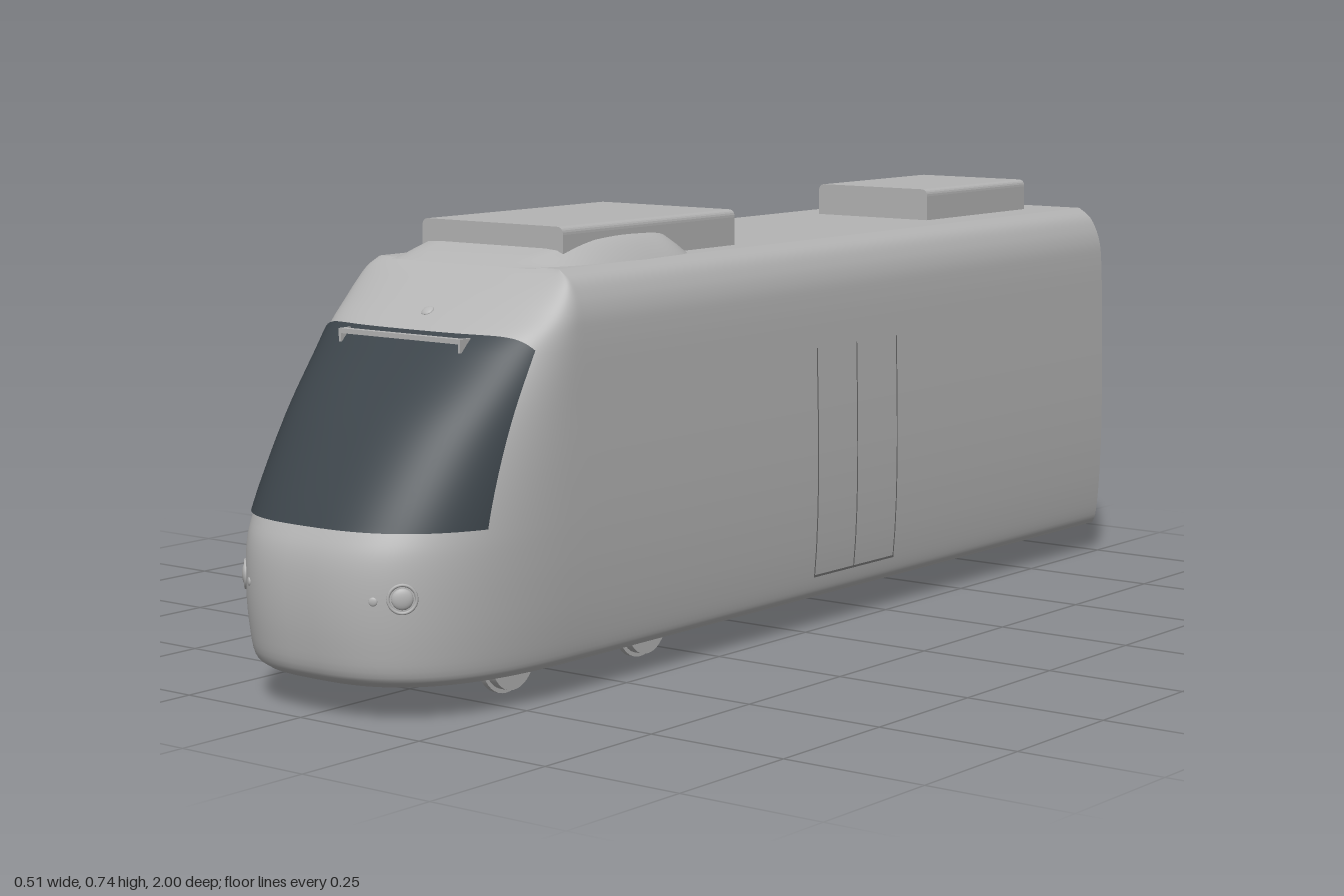
import * as THREE from 'three';

const material = (name, color, side = THREE.FrontSide) => {
  const m = new THREE.MeshStandardMaterial({ color, side });
  m.name = name;
  return m;
};

// Body profile: half width, height, nose tip z
const PROFILE = [
  [0.236, 0.055, 0.965], [0.243, 0.07, 0.985], [0.249, 0.12, 0.996], [0.253, 0.2, 1.0],
  [0.254, 0.26, 0.993], [0.254, 0.3, 0.975], [0.253, 0.38, 0.925], [0.251, 0.46, 0.865],
  [0.249, 0.54, 0.787], [0.247, 0.58, 0.745], [0.243, 0.615, 0.692], [0.234, 0.642, 0.655],
  [0.219, 0.666, 0.624], [0.195, 0.683, 0.6],
];
const ROWS = new THREE.CatmullRomCurve3(PROFILE.map((p) => new THREE.Vector3(...p))).getPoints(60);
const Z0 = 0.6, BACK = -1, POWER = 2.8;

// Half width and nose tip at height y
function at(y) {
  let i = 0;
  while (i < ROWS.length - 2 && ROWS[i + 1].y < y) i++;
  const k = (y - ROWS[i].y) / (ROWS[i + 1].y - ROWS[i].y);
  return ROWS[i].clone().lerp(ROWS[i + 1], k);
}

// Point and normal on the nose
function nosePoint(x, y) {
  const r = at(y);
  const z = Z0 + (r.z - Z0) * Math.pow(Math.max(0, 1 - Math.pow(Math.abs(x) / r.x, POWER)), 1 / POWER);
  return new THREE.Vector3(x, y, z);
}
function noseNormal(x, y) {
  const e = 0.004;
  const dx = nosePoint(x + e, y).sub(nosePoint(x - e, y));
  const dy = nosePoint(x, y + e).sub(nosePoint(x, y - e));
  return dx.cross(dy).normalize();
}

// Plan outline at one row, from rear right round the nose to rear left
function ring(r) {
  const pts = [[-r.x, BACK], [-r.x, 0.55]];
  const n = 64;
  for (let i = 0; i <= n; i++) {
    const t = (i / n - 0.5) * Math.PI;
    const s = Math.sin(t), c = Math.max(0, Math.cos(t));
    pts.push([
      r.x * Math.sign(s) * Math.pow(Math.abs(s), 2 / POWER),
      Z0 + (r.z - Z0) * (c < 1e-6 ? 0 : Math.pow(c, 2 / POWER)),
    ]);
  }
  pts.push([r.x, 0.55], [r.x, BACK]);
  return pts.map(([x, z]) => new THREE.Vector3(x, r.y, z));
}

// Smooth surface through rows of points
function surface(rows) {
  const n = rows[0].length, index = [];
  for (let j = 0; j < rows.length - 1; j++) {
    for (let i = 0; i < n - 1; i++) {
      const a = j * n + i, b = a + 1, c = b + n, d = a + n;
      index.push(a, b, c, a, c, d);
    }
  }
  const g = new THREE.BufferGeometry().setFromPoints(rows.flat());
  g.setIndex(index);
  g.computeVertexNormals();
  return g;
}

// Flat cap over a convex outline
function cap(points, flip) {
  const index = [];
  for (let i = 1; i < points.length - 1; i++) index.push(0, flip ? i + 1 : i, flip ? i : i + 1);
  const g = new THREE.BufferGeometry().setFromPoints(points);
  g.setIndex(index);
  g.computeVertexNormals();
  return g;
}

export function createModel() {
  const group = new THREE.Group();
  const paint = material('body grey', 0xb4b4b4);
  const paintOpen = material('fitting grey', 0xb4b4b4, THREE.DoubleSide);
  const glass = material('dark glass', 0x3c444a, THREE.DoubleSide);
  const seam = material('seam grey', 0x6c6c6c, THREE.DoubleSide);
  const add = (name, geometry, mat, x = 0, y = 0, z = 0) => {
    const m = new THREE.Mesh(geometry, mat);
    m.name = name;
    m.position.set(x, y, z);
    group.add(m);
    return m;
  };

  // Body shell with floor, roof and rear wall
  const rings = ROWS.map(ring);
  add('bodyShell', surface(rings), paint);
  add('floor', cap(rings[0], true), paintOpen);
  add('roof', cap(rings[rings.length - 1], false), paintOpen);
  const rear = [
    ...ROWS.map((r) => new THREE.Vector3(r.x, r.y, BACK)),
    ...ROWS.map((r) => new THREE.Vector3(-r.x, r.y, BACK)).reverse(),
  ];
  add('rearWall', cap(rear, true), paintOpen);

  // Windscreen laid over the nose
  const screen = [];
  for (let j = 0; j <= 24; j++) {
    const row = [];
    for (let i = 0; i <= 48; i++) {
      const s = Math.sin((i / 24 - 1) * Math.PI / 2);
      const top = 0.583 - 0.02 * Math.pow(Math.abs(s), 12);
      const y = 0.298 + (top - 0.298) * j / 24;
      const x = s * (0.232 - 0.006 * j / 24);
      row.push(nosePoint(x, y).addScaledVector(noseNormal(x, y), 0.004));
    }
    screen.push(row);
  }
  add('windscreen', surface(screen), glass);

  // Bar above the windscreen with end brackets
  add('screenBar', new THREE.BoxGeometry(0.262, 0.008, 0.012), paint, 0, 0.577, 0.76);
  for (const s of [-1, 1]) {
    add('barBracket', new THREE.BoxGeometry(0.005, 0.022, 0.024), paint, s * 0.129, 0.57, 0.754);
  }

  // Lamps set on the nose surface
  const lamp = (name, x, y, r, rim) => {
    const p = nosePoint(x, y), target = p.clone().add(noseNormal(x, y));
    const lens = add(name, new THREE.SphereGeometry(r, 24, 12), paint, p.x, p.y, p.z);
    lens.lookAt(target);
    lens.scale.z = 0.35;
    if (rim) {
      add(name + 'Rim', new THREE.TorusGeometry(r * 1.3, r * 0.15, 8, 32), paint, p.x, p.y, p.z).lookAt(target);
    }
  };
  lamp('markerLamp', 0, 0.612, 0.011, false);
  for (const s of [-1, 1]) {
    lamp('headlamp', s * 0.17, 0.2, 0.017, true);
    lamp('smallLamp', s * 0.134, 0.196, 0.007, false);
  }

  // Door seams following the sides
  const strip = (side, y0, y1, z0, z1) => {
    const rows = [];
    for (let j = 0; j <= 8; j++) {
      const y = y0 + (y1 - y0) * j / 8, x = side * (at(y).x + 0.001);
      rows.push([new THREE.Vector3(x, y, side > 0 ? z1 : z0), new THREE.Vector3(x, y, side > 0 ? z0 : z1)]);
    }
    add('doorSeam', surface(rows), seam);
  };
  for (const side of [-1, 1]) {
    for (const z of [-0.03, -0.15, -0.275]) strip(side, 0.095, 0.5, z - 0.0015, z + 0.0015);
    strip(side, 0.093, 0.097, -0.277, -0.028);
  }

  // Roof pods with rounded upper edges
  const pod = (name, w, top, z0, z1) => {
    const r = 0.013, base = 0.675;
    const s = new THREE.Shape();
    s.moveTo(-w, base);
    s.lineTo(w, base);
    s.lineTo(w, top - r);
    s.quadraticCurveTo(w, top, w - r, top);
    s.lineTo(-w + r, top);
    s.quadraticCurveTo(-w, top, -w, top - r);
    add(name, new THREE.ExtrudeGeometry(s, { depth: z1 - z0, bevelEnabled: false, curveSegments: 6 }), paint, 0, 0, z0);
  };
  pod('frontRoofPod', 0.153, 0.744, 0.08, 0.54);
  pod('rearRoofPod', 0.125, 0.741, -0.905, -0.56);

  // Fairing under the front pod: z, base half width, height
  const stations = [
    [0.22, 0.15, 0], [0.25, 0.183, 0.018], [0.28, 0.193, 0.036], [0.35, 0.196, 0.042],
    [0.43, 0.195, 0.041], [0.5, 0.188, 0.034], [0.56, 0.175, 0.02], [0.62, 0.15, 0],
  ];
  const curve = new THREE.CatmullRomCurve3(stations.map(([z, w, h]) => new THREE.Vector3(w, h, z)));
  const fairing = curve.getPoints(32).map((p) =>
    [[-1, -0.01, 0], [-1, 0.0, 0], [-1, 0.55, 0.018], [-1, 0.92, 0.04], [-1, 1, 0.065],
      [1, 1, 0.065], [1, 0.92, 0.04], [1, 0.55, 0.018], [1, 0, 0], [1, -0.01, 0]]
      .map(([s, k, inset]) => new THREE.Vector3(s * (p.x - inset), 0.682 + k * Math.max(0, p.y), p.z)));
  add('roofFairing', surface(fairing.reverse()), paintOpen);

  // Bogie plate, axles and flanged wheels
  add('bogiePlate', new THREE.BoxGeometry(0.26, 0.008, 0.345), paint, 0, 0.054, 0.5025);
  const disc = (name, r, x, width, z) => {
    const g = new THREE.CylinderGeometry(r, r, width, 36);
    g.rotateZ(Math.PI / 2);
    add(name, g, paint, x, 0.058, z);
  };
  for (const z of [0.33, 0.675]) {
    disc('axle', 0.008, 0, 0.28, z);
    for (const s of [-1, 1]) {
      disc('wheelFlange', 0.058, s * 0.137, 0.01, z);
      disc('wheelTread', 0.051, s * 0.149, 0.018, z);
    }
  }
  return group;
}
